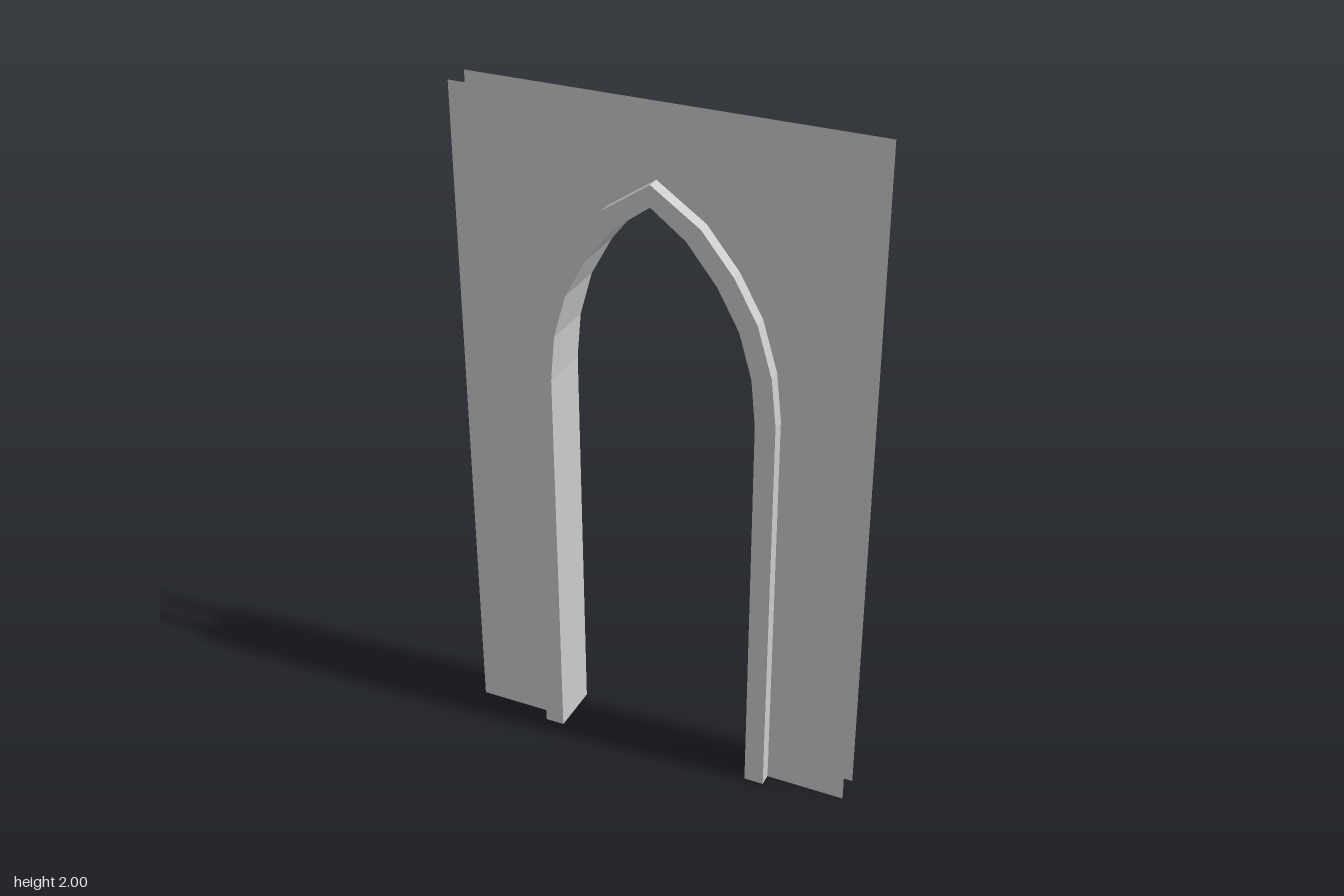
import * as THREE from 'three';

const HALF_WIDTH = 0.593, HEIGHT = 2, SHEET_Z = 0.042, TRIM_Z = 0.08;

// Right half of each pointed arch, from foot to apex
const OUTER = [[0.358, 0], [0.358, 1.21], [0.343, 1.35], [0.3, 1.495], [0.233, 1.615], [0.14, 1.73], [0, 1.826]];
const INNER = [[0.3, 0], [0.3, 1.2], [0.287, 1.335], [0.25, 1.465], [0.187, 1.58], [0.1, 1.69], [0, 1.765]];

// Mirror a half arch into a full run from right foot over the apex to left foot
function fullArch(half) {
  const left = half.slice(0, -1).reverse().map(([x, y]) => [-x, y]);
  return [...half, ...left].map(([x, y]) => new THREE.Vector2(x, y));
}

export function createModel() {
  const group = new THREE.Group();
  group.name = 'archway';
  const stone = new THREE.MeshStandardMaterial({ color: 0xcccccc, side: THREE.DoubleSide, flatShading: true });
  stone.name = 'grey stone';

  // Two thin wall sheets, front and back, cut out around the arch
  const wallShape = new THREE.Shape([
    new THREE.Vector2(-HALF_WIDTH, 0),
    ...fullArch(OUTER).reverse(),
    new THREE.Vector2(HALF_WIDTH, 0),
    new THREE.Vector2(HALF_WIDTH, HEIGHT),
    new THREE.Vector2(-HALF_WIDTH, HEIGHT),
  ]);
  const wallGeometry = new THREE.ShapeGeometry(wallShape);
  for (const side of [1, -1]) {
    const wall = new THREE.Mesh(wallGeometry, stone);
    wall.name = side > 0 ? 'frontWall' : 'backWall';
    wall.position.z = side * SHEET_Z;
    if (side < 0) wall.rotation.y = Math.PI;
    group.add(wall);
  }

  // Solid trim running around the opening
  const trimShape = new THREE.Shape([...fullArch(OUTER), ...fullArch(INNER).reverse()]);
  const trimGeometry = new THREE.ExtrudeGeometry(trimShape, { depth: TRIM_Z * 2, bevelEnabled: false });
  trimGeometry.translate(0, 0, -TRIM_Z);
  const trim = new THREE.Mesh(trimGeometry, stone);
  trim.name = 'archTrim';
  group.add(trim);

  return group;
}
